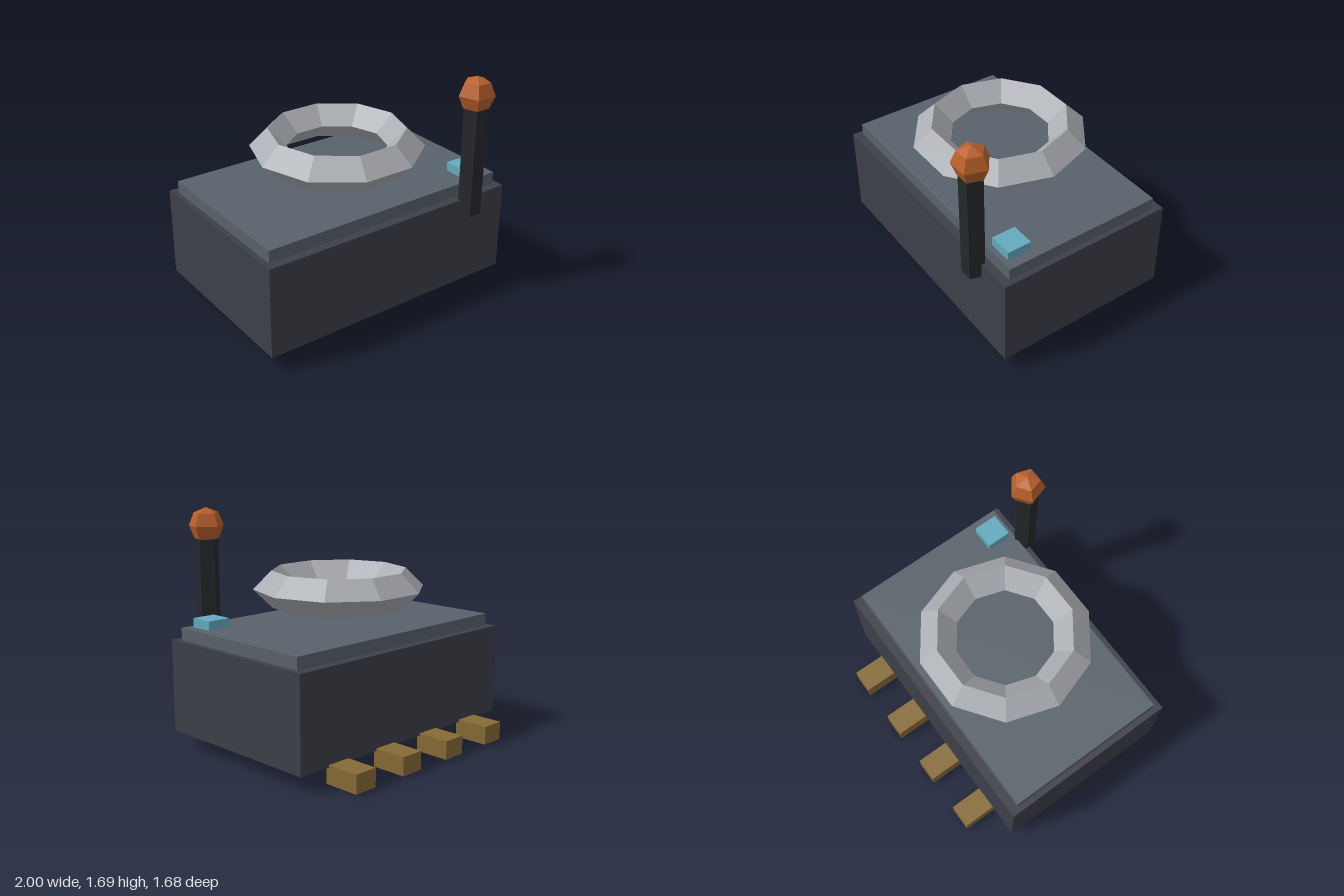
import * as THREE from 'three';

export function createModel() {
  const model = new THREE.Group();

  function add(name, geometry, color, x, y, z) {
    const material = new THREE.MeshStandardMaterial({ color, flatShading: true });
    const mesh = new THREE.Mesh(geometry, material);
    mesh.name = name;
    mesh.position.set(x, y, z);
    model.add(mesh);
    return mesh;
  }

  const midZ = 0.065; // centre line of the cabinet

  // Cabinet and the slightly smaller top plate
  add('cabinet', new THREE.BoxGeometry(2, 0.665, 1.33), 0x3e4048, 0, 0.4475, midZ);
  add('topPlate', new THREE.BoxGeometry(1.92, 0.1, 1.2), 0x59626b, 0, 0.82, midZ);

  // Floating ring with a diamond section
  const ring = new THREE.TorusGeometry(0.488, 0.133, 4, 10).rotateX(-Math.PI / 2);
  add('ring', ring, 0xabaeb3, 0, 1.115, midZ);

  // Five-sided lever with a faceted knob, one flat side facing the front
  const post = new THREE.CylinderGeometry(0.086, 0.086, 0.81, 5).rotateY(Math.PI);
  add('leverPost', post, 0x25282c, 0.665, 1.075, 0.736);
  const knob = new THREE.SphereGeometry(0.13, 5, 4).rotateY(-Math.PI / 2);
  add('leverKnob', knob, 0xb8602a, 0.665, 1.56, 0.735);

  // Push button on the top plate
  add('button', new THREE.BoxGeometry(0.178, 0.08, 0.178), 0x64abbe, 0.798, 0.895, 0.535);

  // Row of blocks along the lower back edge
  for (let i = 0; i < 4; i++) {
    add('backBlock' + (i + 1), new THREE.BoxGeometry(0.178, 0.133, 0.265), 0x876a36,
      -0.667 + i * 0.4445, 0.0665, -0.712);
  }

  return model;
}
